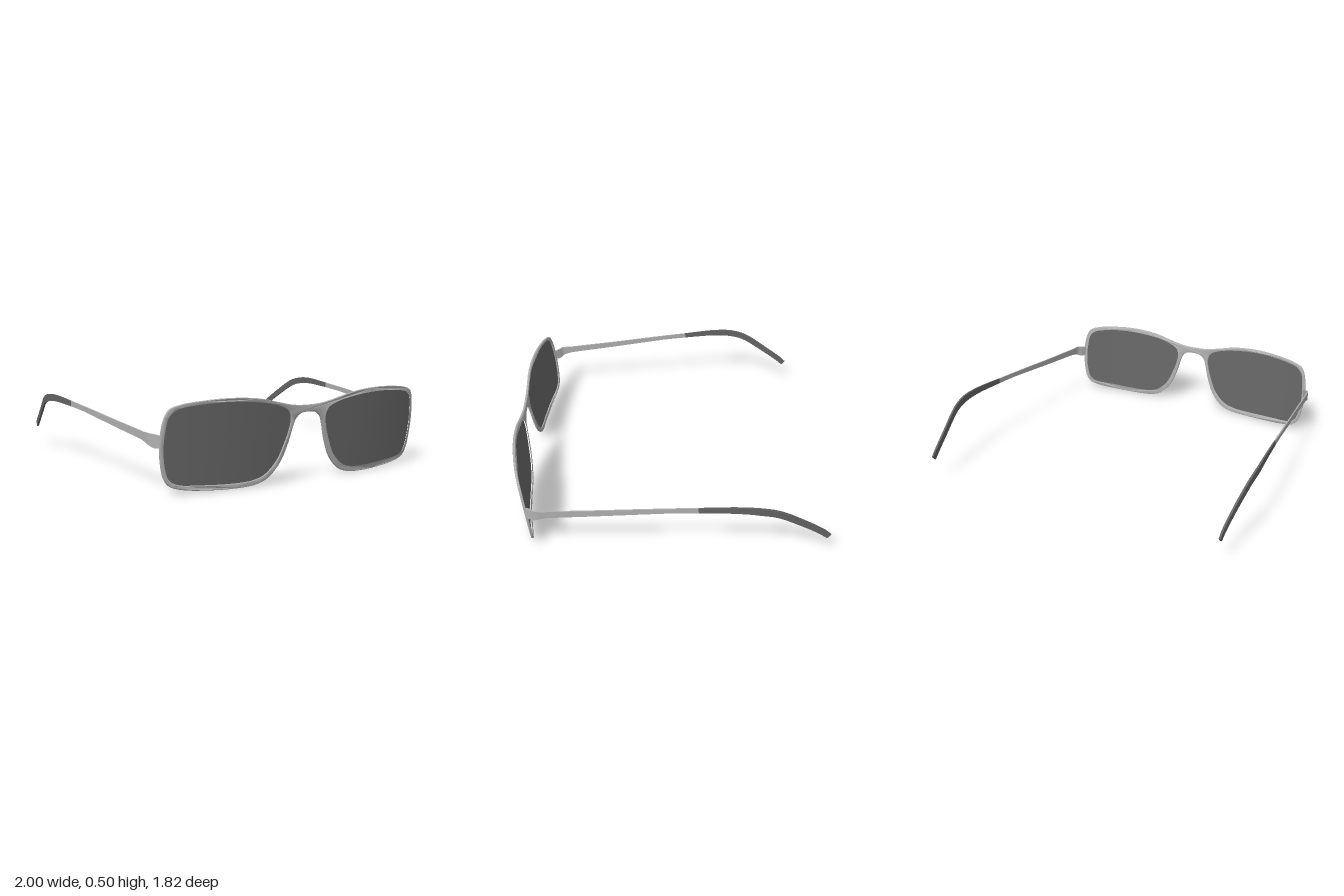
import * as THREE from 'three';
import { toCreasedNormals } from 'three/addons/utils/BufferGeometryUtils.js';

const metal = new THREE.MeshStandardMaterial({ color: 0xb0b0b0 });
metal.name = 'silverMetal';
const tipDark = new THREE.MeshStandardMaterial({ color: 0x646464 });
tipDark.name = 'darkTip';
const tinted = new THREE.MeshStandardMaterial({ color: 0x666666, side: THREE.DoubleSide });
tinted.name = 'tintedLens';

// Right half of the frame outline, from top centre round to bottom of the bridge
const OUTLINE = [
  [0, 0.43], [0.1, 0.436], [0.2, 0.457], [0.3, 0.481], [0.4, 0.494], [0.52, 0.499], [0.65, 0.493],
  [0.77, 0.478], [0.83, 0.455], [0.857, 0.405], [0.873, 0.3], [0.869, 0.19], [0.848, 0.09],
  [0.815, 0.045], [0.74, 0.021], [0.6, 0.007], [0.42, 0.002], [0.31, 0.012], [0.24, 0.043],
  [0.17, 0.12], [0.125, 0.225], [0.1, 0.315], [0.082, 0.36], [0.05, 0.385], [0, 0.391],
];

// Outline of one lens
const LENS = [
  [0.135, 0.405], [0.2, 0.438], [0.35, 0.467], [0.52, 0.478], [0.7, 0.468], [0.795, 0.448],
  [0.832, 0.41], [0.846, 0.35], [0.853, 0.25], [0.843, 0.15], [0.82, 0.082], [0.775, 0.052],
  [0.65, 0.039], [0.43, 0.03], [0.34, 0.036], [0.27, 0.058], [0.195, 0.13], [0.15, 0.225],
  [0.125, 0.3], [0.117, 0.36],
];

// Arm stations: x, y, z, half height, half thickness
const ARM = [
  [0.866, 0.287, 0.8, 0.03, 0.006], [0.882, 0.288, 0.772, 0.036, 0.006],
  [0.904, 0.298, 0.742, 0.03, 0.005], [0.91, 0.307, 0.68, 0.022, 0.004],
  [0.931, 0.332, 0.4, 0.019, 0.004], [0.962, 0.37, 0, 0.015, 0.004],
  [0.974, 0.381, -0.16, 0.016, 0.004], [0.991, 0.392, -0.38, 0.02, 0.005],
  [0.996, 0.384, -0.5, 0.022, 0.006], [0.988, 0.357, -0.6, 0.021, 0.006],
  [0.964, 0.266, -0.75, 0.019, 0.006], [0.949, 0.19, -0.86, 0.018, 0.006],
  [0.946, 0.155, -0.9, 0.017, 0.005],
];

// Wrap curve and forward tilt shared by frame and lenses
function faceZ(x, y) {
  const d = Math.max(0, Math.abs(x) - 0.25) / 0.62;
  return 0.903 + 0.1 * (y - 0.48) - 0.085 * d * d;
}

function smoothLoop(points, n) {
  const curve = new THREE.CatmullRomCurve3(points.map(([x, y]) => new THREE.Vector3(x, y, 0)), true);
  return curve.getPoints(n).slice(0, n).map((p) => new THREE.Vector2(p.x, p.y));
}

const mirrored = (points) => points.map(([x, y]) => [-x, y]);

function frameGeometry() {
  const left = mirrored(OUTLINE.slice(1, -1)).reverse();
  const shape = new THREE.Shape(smoothLoop([...OUTLINE, ...left], 280));
  shape.holes.push(new THREE.Path(smoothLoop(LENS, 120)));
  shape.holes.push(new THREE.Path(smoothLoop(mirrored(LENS), 120)));
  const geo = new THREE.ExtrudeGeometry(shape, {
    depth: 0.007, bevelThickness: 0.004, bevelSize: 0.004, bevelOffset: -0.004, bevelSegments: 2,
  });
  const pos = geo.attributes.position;
  for (let i = 0; i < pos.count; i++) {
    pos.setZ(i, pos.getZ(i) - 0.0035 + faceZ(pos.getX(i), pos.getY(i)));
  }
  return toCreasedNormals(geo, 0.7);
}

// Curved sheet of concentric rings, tucked slightly into the rim
function lensGeometry(side) {
  const loop = smoothLoop(LENS, 96);
  const n = loop.length, rings = 10, cx = 0.49, cy = 0.255;
  const pos = [], index = [];
  for (let r = 0; r <= rings; r++) {
    const k = (r / rings) * 1.008;
    for (const p of loop) {
      const x = side * (cx + (p.x - cx) * k), y = cy + (p.y - cy) * k;
      pos.push(x, y, faceZ(x, y));
    }
  }
  for (let r = 0; r < rings; r++) {
    for (let i = 0; i < n; i++) {
      const a = r * n + i, b = r * n + (i + 1) % n, c = a + n, d = b + n;
      // the outline runs clockwise, so the winding depends on the side
      if (side > 0) index.push(a, d, c, a, b, d);
      else index.push(a, c, d, a, d, b);
    }
  }
  const geo = new THREE.BufferGeometry();
  geo.setAttribute('position', new THREE.Float32BufferAttribute(pos, 3));
  geo.setIndex(index);
  geo.computeVertexNormals();
  return geo;
}

// Flat bar swept through the arm stations from index `from` to index `to`
function armGeometry(side, from, to) {
  const curve = new THREE.CatmullRomCurve3(ARM.map(([x, y, z]) => new THREE.Vector3(side * x, y, z)));
  const steps = 6, last = ARM.length - 1, up0 = new THREE.Vector3(0, 1, 0);
  const pos = [], index = [];
  const count = (to - from) * steps;
  for (let i = 0; i <= count; i++) {
    const s = from + i / steps, j = Math.min(Math.floor(s), last - 1), f = s - j;
    const p = curve.getPoint(s / last), t = curve.getTangent(s / last);
    const across = new THREE.Vector3().crossVectors(t, up0).normalize();
    const up = new THREE.Vector3().crossVectors(across, t);
    const h = THREE.MathUtils.lerp(ARM[j][3], ARM[j + 1][3], f);
    const w = THREE.MathUtils.lerp(ARM[j][4], ARM[j + 1][4], f);
    for (const [u, v] of [[1, -1], [1, 1], [-1, 1], [-1, -1]]) {
      const q = p.clone().addScaledVector(across, u * w).addScaledVector(up, v * h);
      pos.push(q.x, q.y, q.z);
    }
    if (i === count) break;
    for (let k = 0; k < 4; k++) {
      const a = i * 4 + k, b = i * 4 + (k + 1) % 4;
      index.push(a, a + 4, b, b, a + 4, b + 4);
    }
  }
  // end caps
  const e = count * 4;
  index.push(0, 1, 2, 0, 2, 3, e, e + 2, e + 1, e, e + 3, e + 2);
  const geo = new THREE.BufferGeometry();
  geo.setAttribute('position', new THREE.Float32BufferAttribute(pos, 3));
  geo.setIndex(index);
  return toCreasedNormals(geo.toNonIndexed(), 0.7);
}

export function createModel() {
  const group = new THREE.Group();
  group.name = 'glasses';
  const add = (name, geo, material) => {
    const mesh = new THREE.Mesh(geo, material);
    mesh.name = name;
    group.add(mesh);
  };
  add('frame', frameGeometry(), metal);
  for (const [side, label] of [[1, 'left'], [-1, 'right']]) {
    add(label + 'Lens', lensGeometry(side), tinted);
    add(label + 'Arm', armGeometry(side, 0, 6), metal);
    add(label + 'ArmTip', armGeometry(side, 6, ARM.length - 1), tipDark);
  }
  return group;
}
